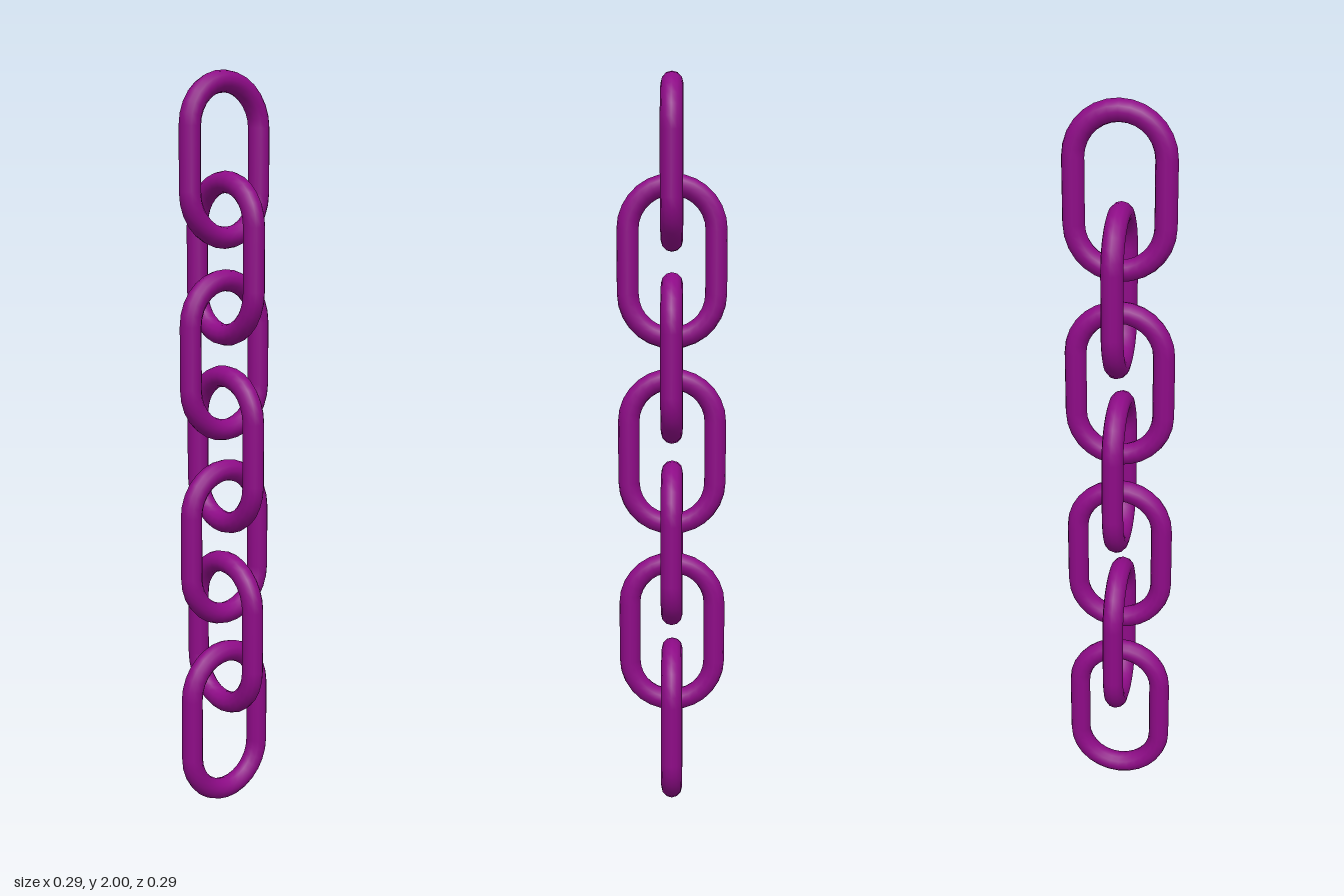
import * as THREE from 'three';
import { mergeGeometries } from 'three/addons/utils/BufferGeometryUtils.js';

const LINKS = 7;
const WIRE = 0.029;      // wire radius
const BEND = 0.117;      // centre-line radius of the rounded ends
const LEG = 0.168;       // length of the straight sides
const HEIGHT = LEG + 2 * (BEND + WIRE);
const SIDES = 12;

// One stadium-shaped link in the XY plane: two half rings and two straight legs
function linkGeometry() {
  const parts = [];
  for (const s of [1, -1]) {
    const bend = new THREE.TorusGeometry(BEND, WIRE, SIDES, 14, Math.PI);
    if (s < 0) bend.rotateZ(Math.PI);
    bend.translate(0, s * LEG / 2, 0);
    const leg = new THREE.CylinderGeometry(WIRE, WIRE, LEG, SIDES, 1, true);
    leg.translate(s * BEND, 0, 0);
    parts.push(bend, leg);
  }
  return mergeGeometries(parts);
}

export function createModel() {
  const chain = new THREE.Group();
  chain.name = 'chain';
  const purple = new THREE.MeshStandardMaterial({ color: 0x8e0b87 });
  purple.name = 'purple';

  // Links alternate by a quarter turn up the chain
  const geometry = linkGeometry();
  const step = (2 - HEIGHT) / (LINKS - 1);
  for (let i = 0; i < LINKS; i++) {
    const link = new THREE.Mesh(geometry, purple);
    link.name = `link${i + 1}`;
    link.position.y = HEIGHT / 2 + i * step;
    if (i % 2 === 0) link.rotation.y = Math.PI / 2;
    chain.add(link);
  }
  return chain;
}
